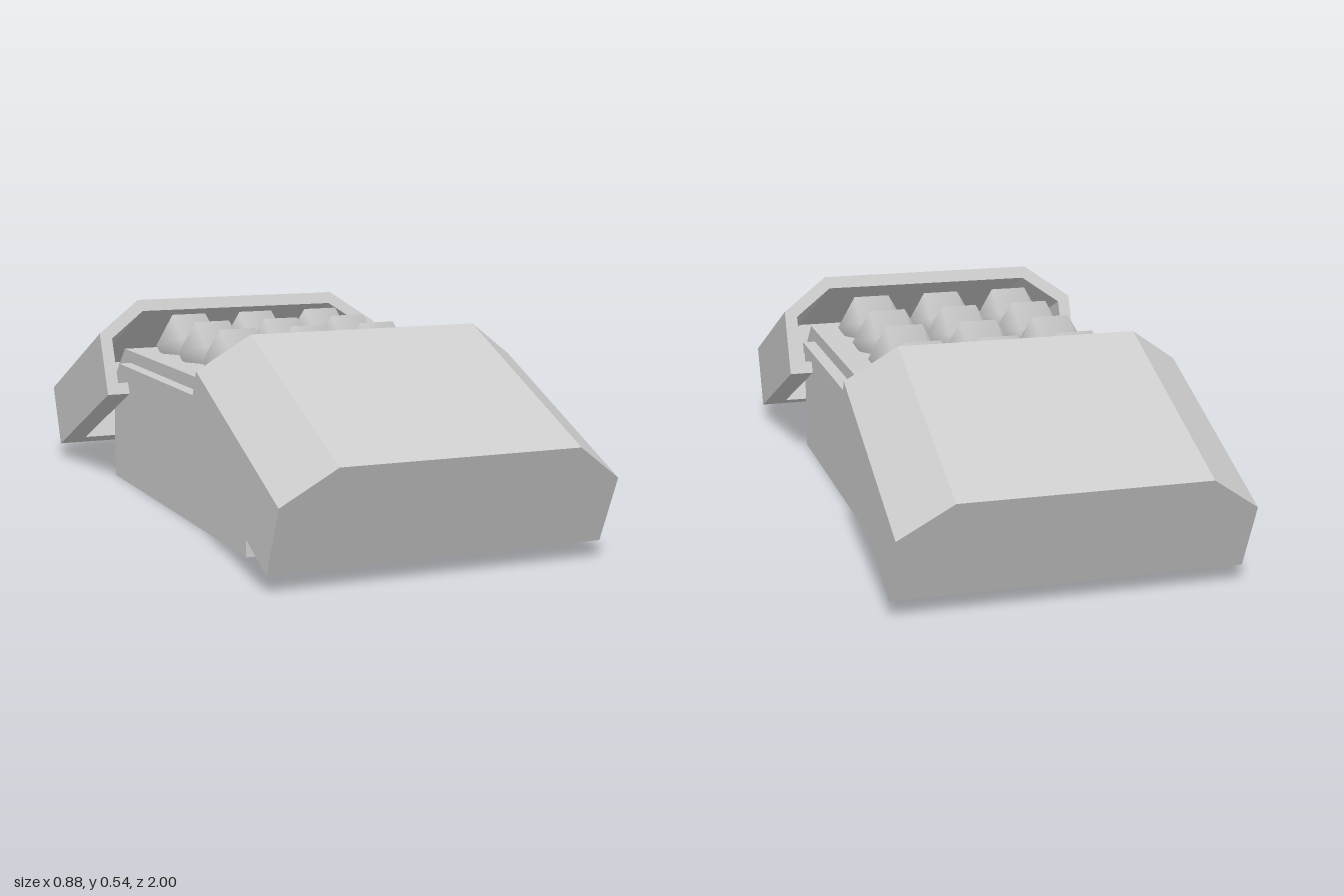
import * as THREE from 'three';

const grey = new THREE.MeshStandardMaterial({ color: 0xcccccc });
const greyOpen = new THREE.MeshStandardMaterial({ color: 0xcccccc, side: THREE.DoubleSide });

function add(parent, name, geometry, x = 0, y = 0, z = 0, material = grey) {
  const mesh = new THREE.Mesh(geometry, material);
  mesh.name = name;
  mesh.position.set(x, y, z);
  parent.add(mesh);
  return mesh;
}

const shapeOf = (pts) => new THREE.Shape(pts.map(([x, y]) => new THREE.Vector2(x, y)));

const extrude = (pts, depth) =>
  new THREE.ExtrudeGeometry(shapeOf(pts), { depth, bevelEnabled: false });

// Thin shell with sloped ends, open underneath
function createBase() {
  const base = new THREE.Group();
  base.name = 'base';
  const w = 0.36;
  const profile = [[0.55, 0], [0.55, 0.295], [0.435, 0.4], [-0.435, 0.4], [-0.55, 0.295], [-0.55, 0]];

  const pos = [];
  for (let i = 0; i < profile.length - 1; i++) {
    const [z0, y0] = profile[i];
    const [z1, y1] = profile[i + 1];
    pos.push(-w, y0, z0, w, y0, z0, w, y1, z1);
    pos.push(-w, y0, z0, w, y1, z1, -w, y1, z1);
  }
  const strip = new THREE.BufferGeometry();
  strip.setAttribute('position', new THREE.Float32BufferAttribute(pos, 3));
  strip.computeVertexNormals();
  add(base, 'baseEndsAndTop', strip, 0, 0, 0, greyOpen);

  for (const s of [1, -1]) {
    const side = add(base, 'baseSide', new THREE.ShapeGeometry(shapeOf(profile)), s * w, 0, 0, greyOpen);
    side.rotation.y = s * Math.PI / 2;
    // slide rail running through the side wall
    add(base, 'rail', new THREE.BoxGeometry(0.055, 0.03, 0.76), s * 0.3675, 0.35, 0);
  }
  // thickness of the deck that holds the balls
  add(base, 'deckPlate', new THREE.BoxGeometry(0.71, 0.044, 0.87), 0, 0.374, 0);
  return base;
}

// Chamfered cover, open underneath and at its inner end, tilted outwards
function createCover() {
  const cover = new THREE.Group();
  cover.name = 'cover';
  const length = 0.589, wall = 0.035;
  const mirror = (half) => [...half, ...half.map(([x, y]) => [-x, y]).reverse()];
  const outer = [[0.31, 0], [0.44, -0.098], [0.44, -0.284]];
  const inner = [[0.375, -0.284], [0.375, -0.25], [0.405, -0.25], [0.405, -0.115], [0.3, -0.035]];

  add(cover, 'coverShell', extrude(mirror([...outer, ...inner]), length - wall));
  add(cover, 'coverEnd', extrude(mirror(outer), wall), 0, 0, length - wall);
  add(cover, 'coverEndLip', new THREE.BoxGeometry(0.81, 0.034, 0.03), 0, -0.267, length - wall - 0.015);

  cover.position.set(0, 0.54, 0.46);
  cover.rotation.x = THREE.MathUtils.degToRad(23.5);
  return cover;
}

export function createModel() {
  const model = new THREE.Group();
  model.name = 'openLauncherBox';
  model.add(createBase());

  // front and back covers
  for (const [name, turn] of [['frontCover', 0], ['backCover', Math.PI]]) {
    const holder = new THREE.Group();
    holder.name = name;
    holder.rotation.y = turn;
    holder.add(createCover());
    model.add(holder);
  }

  // three by four low-poly balls lying on their side, an edge on top
  const ball = new THREE.SphereGeometry(0.1, 5, 3);
  ball.rotateY(Math.PI).rotateZ(Math.PI / 2);
  for (let col = -1; col <= 1; col++) {
    for (let row = 0; row < 4; row++) {
      add(model, 'ball', ball, col * 0.207, 0.423, -0.3 + row * 0.198);
    }
  }
  return model;
}
